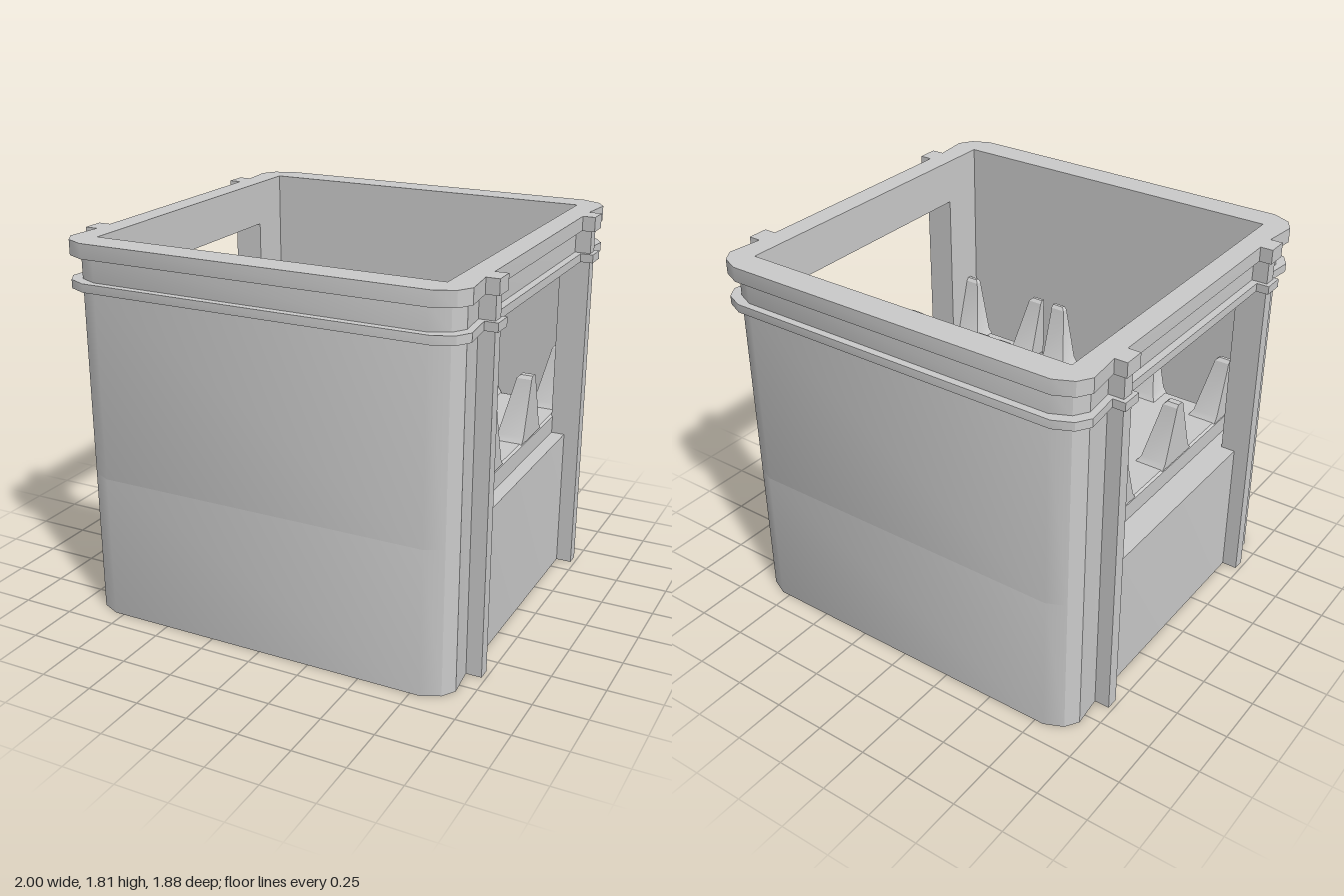
import * as THREE from 'three';
import { toCreasedNormals } from 'three/addons/utils/BufferGeometryUtils.js';

const material = new THREE.MeshStandardMaterial({ color: 0xcccccc });
const FLOOR = 0.695, SLAB_TOP = 0.79, HEIGHT = 1.81;
const INNER_X = 0.835, INNER_Z = 0.805, WINDOW_Z = 0.59;

function add(parent, name, geometry) {
  const mesh = new THREE.Mesh(geometry, material);
  mesh.name = name;
  parent.add(mesh);
  return mesh;
}

function box(parent, name, x0, x1, y0, y1, z0, z1) {
  const g = new THREE.BoxGeometry(x1 - x0, y1 - y0, z1 - z0);
  g.translate((x0 + x1) / 2, (y0 + y1) / 2, (z0 + z1) / 2);
  return add(parent, name, g);
}

// Extrude a plan shape (x, -z) upward from y0 to y1
function layer(parent, name, shape, y0, y1) {
  const g = new THREE.ExtrudeGeometry(shape, { depth: y1 - y0, bevelEnabled: false });
  g.rotateX(-Math.PI / 2);
  g.translate(0, y0, 0);
  return add(parent, name, toCreasedNormals(g, 0.52));
}

// One corner of the plan, inset by d
const corner = (d) => [[0.94, 0.67], [0.957, 0.837], [0.917, 0.9], [0.83, 0.94]]
  .map(([x, z]) => [x - d, z - d]);

// Front half of the plan, from +x round to -x
function halfPlan(d) {
  const c = corner(d);
  return [...c, ...c.map(([x, z]) => [-x, z]).reverse()];
}

const toShape = (pts) => new THREE.Shape(pts.map(([x, y]) => new THREE.Vector2(x, y)));

function plan(d, hollow) {
  const half = halfPlan(d);
  const shape = toShape([...half, ...half.map(([x, z]) => [-x, -z])]);
  if (hollow) {
    shape.holes.push(toShape([
      [-INNER_X, -INNER_Z], [-INNER_X, INNER_Z], [INNER_X, INNER_Z], [INNER_X, -INNER_Z],
    ]));
  }
  return shape;
}

// Half spike standing against a slab edge; n and p scale its reach towards -z and +z
function spikeGeometry(side, n, p) {
  const rows = [[0, 0.15, 0.13], [0.03, 0.13, 0.108], [0.27, 0.08, 0.036], [0.295, 0.075, 0.03], [0.31, 0.06, 0.016]];
  const pos = [], idx = [];
  for (const [y, d, h] of rows) {
    const ring = [[0, -h * n], [0, h * p], [d, h * p], [d, -h * n]];
    if (side < 0) ring.reverse();
    for (const [x, z] of ring) pos.push(side * x, y, z);
  }
  for (let r = 0; r < rows.length - 1; r++) {
    for (let i = 0; i < 4; i++) {
      const a = r * 4 + i, b = r * 4 + (i + 1) % 4;
      idx.push(a, b, b + 4, a, b + 4, a + 4);
    }
  }
  const t = (rows.length - 1) * 4;
  idx.push(t, t + 1, t + 2, t, t + 2, t + 3);
  const g = new THREE.BufferGeometry();
  g.setAttribute('position', new THREE.Float32BufferAttribute(pos, 3));
  g.setIndex(idx);
  return toCreasedNormals(g, 0.4);
}

export function createModel() {
  const model = new THREE.Group();
  model.name = 'bottleCrate';
  const d = 0.035;

  // Solid lower body
  layer(model, 'lowerBody', plan(d, false), 0, FLOOR);

  // Front and back walls wrapping round the corners to the side windows
  const wall = toShape([
    [0.94 - d, WINDOW_Z], ...halfPlan(d), [-0.94 + d, WINDOW_Z],
    [-INNER_X, WINDOW_Z], [-INNER_X, INNER_Z], [INNER_X, INNER_Z], [INNER_X, WINDOW_Z],
  ]);
  layer(model, 'backWall', wall, FLOOR, 1.59);
  layer(model, 'frontWall', wall, FLOOR, 1.59).rotation.y = Math.PI;

  // Collar, upper band and rim
  layer(model, 'collar', plan(0, true), 1.59, 1.63);
  layer(model, 'upperBand', plan(d, true), 1.63, 1.74);
  layer(model, 'rim', plan(0, true), 1.74, HEIGHT);

  // Side ribs with wider tabs at the collar and rim
  for (const sx of [-1, 1]) {
    for (const sz of [-1, 1]) {
      const rib = new THREE.Group();
      rib.name = 'sideRib';
      model.add(rib);
      const part = (name, reach, y0, y1, z0, z1) => box(rib, name,
        Math.min(sx * 0.89, sx * reach), Math.max(sx * 0.89, sx * reach), y0, y1,
        Math.min(sz * z0, sz * z1), Math.max(sz * z0, sz * z1));
      part('ribPost', 0.98, 0, 1.74, WINDOW_Z, 0.65);
      part('collarTab', 1, 1.59, 1.63, 0.57, 0.67);
      part('rimTab', 1, 1.74, HEIGHT, 0.57, 0.67);
    }
  }

  // Three floor slabs with chamfered tops, each edged with spikes
  const zMin = -0.785, zMax = 0.75, bevel = 0.01;
  for (const [x0, x1] of [[-0.77, -0.275], [-0.22, 0.275], [0.345, 0.84]]) {
    const tray = new THREE.Group();
    tray.name = 'bottleTray';
    model.add(tray);
    const shape = toShape([
      [x0 + bevel, -zMax + bevel], [x1 - bevel, -zMax + bevel],
      [x1 - bevel, -zMin - bevel], [x0 + bevel, -zMin - bevel],
    ]);
    const g = new THREE.ExtrudeGeometry(shape, {
      depth: SLAB_TOP - FLOOR - bevel, bevelSize: bevel, bevelThickness: bevel, bevelSegments: 1,
    });
    g.rotateX(-Math.PI / 2);
    g.translate(0, FLOOR, 0);
    add(tray, 'traySlab', g);

    for (const [x, side] of [[x0, 1], [x1, -1]]) {
      for (const [z, n, p] of [[zMin, 0, 1], [-0.27, 1, 1], [0.24, 1, 1], [zMax, 1, 0]]) {
        add(tray, 'spike', spikeGeometry(side, n, p)).position.set(x, SLAB_TOP - 0.003, z);
      }
    }
  }
  return model;
}
